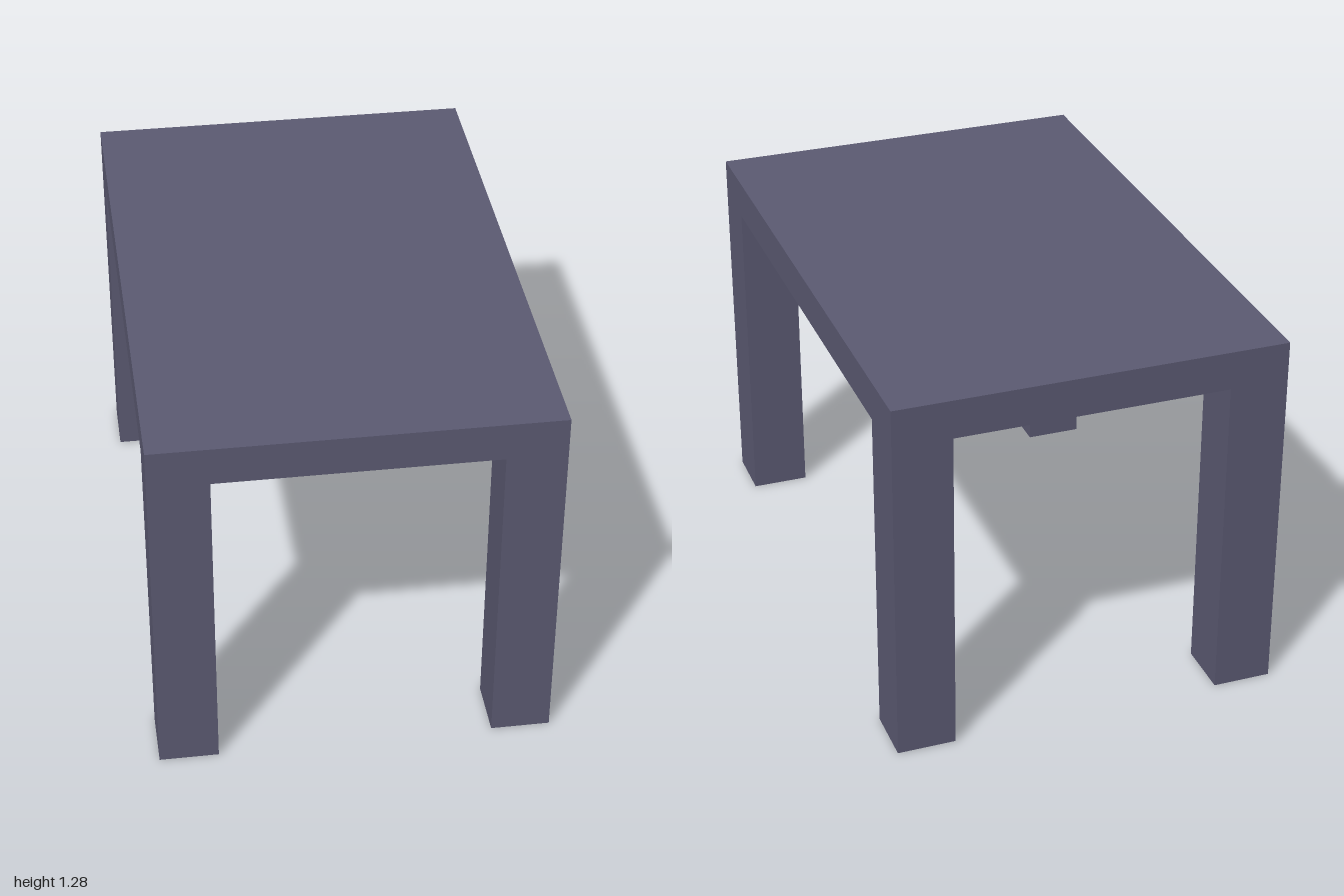
import * as THREE from 'three';

const WIDTH = 1.333, DEPTH = 2, HEIGHT = 1.283;
const TOP = 0.133, LEG = 0.2;

export function createModel() {
  const table = new THREE.Group();
  table.name = 'table';
  const slate = new THREE.MeshStandardMaterial({ color: 0x5b5a72 });
  slate.name = 'slate';

  const addBox = (name, w, h, d, x, y, z) => {
    const mesh = new THREE.Mesh(new THREE.BoxGeometry(w, h, d), slate);
    mesh.name = name;
    mesh.position.set(x, y, z);
    table.add(mesh);
  };

  // Tabletop slab
  addBox('tabletop', WIDTH, TOP, DEPTH, 0, HEIGHT - TOP / 2, 0);

  // Square legs, flush with the corners of the top
  const legHeight = HEIGHT - TOP;
  for (const [side, sx] of [['Left', 1], ['Right', -1]]) {
    for (const [end, sz] of [['front', 1], ['back', -1]]) {
      addBox(`${end}${side}Leg`, LEG, legHeight, LEG,
        sx * (WIDTH - LEG) / 2, legHeight / 2, sz * (DEPTH - LEG) / 2);
    }
  }
  return table;
}
